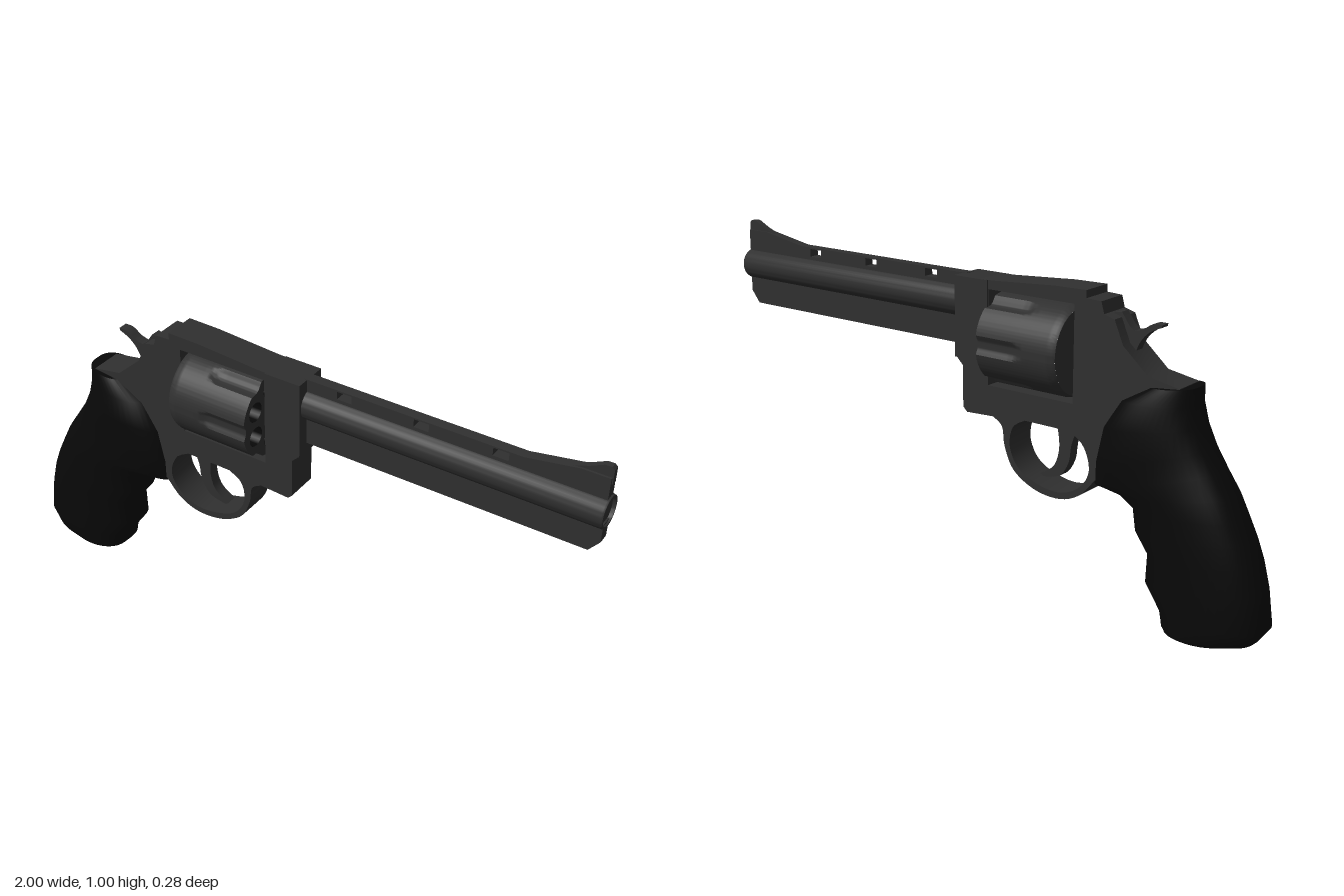
import * as THREE from 'three';
import { toCreasedNormals } from 'three/addons/utils/BufferGeometryUtils.js';

const steel = new THREE.MeshStandardMaterial({ color: 0x303030 });
const black = new THREE.MeshStandardMaterial({ color: 0x080808 });

const vecs = pts => pts.map(([x, y]) => new THREE.Vector2(x, y));
// Smooth curve through points, sampled
const smooth = (pts, n = 32) => new THREE.SplineCurve(vecs(pts)).getPoints(n).map(p => [p.x, p.y]);
const rect = (x0, y0, x1, y1) => [[x0, y0], [x1, y0], [x1, y1], [x0, y1]];

function mesh(name, geometry, material = steel) {
  const m = new THREE.Mesh(geometry, material);
  m.name = name;
  return m;
}

// Side profile in the xy plane, extruded symmetrically to +-half in z; holes run counter-clockwise
function slab(name, pts, half, holes = []) {
  const shape = new THREE.Shape(vecs(pts));
  holes.forEach(h => shape.holes.push(new THREE.Path(vecs(h))));
  const g = new THREE.ExtrudeGeometry(shape, { depth: 2 * half, bevelEnabled: false });
  g.translate(0, 0, -half);
  return mesh(name, toCreasedNormals(g, 0.6));
}

// Frame with cylinder window and trigger guard opening
function buildFrame() {
  const guardOuter = smooth([[-0.08, 0.525], [-0.115, 0.5], [-0.125, 0.44], [-0.16, 0.37], [-0.24, 0.325],
    [-0.33, 0.317], [-0.4, 0.345], [-0.45, 0.4]]);
  const guardInner = smooth([[-0.36, 0.535], [-0.41, 0.5], [-0.432, 0.43], [-0.4, 0.37], [-0.33, 0.337],
    [-0.25, 0.345], [-0.18, 0.378], [-0.145, 0.44], [-0.155, 0.505], [-0.2, 0.535]]);
  return slab('frame', [
    [0.06, 0.94], [0.06, 0.69], [0.035, 0.665], [0.035, 0.535], [0.02, 0.52], ...guardOuter,
    [-0.5, 0.45], [-0.6, 0.6], [-0.72, 0.69], [-0.72, 0.728], [-0.62, 0.745], [-0.535, 0.82],
    [-0.505, 0.89], [-0.47, 0.9], [-0.46, 0.935], [-0.41, 0.937], [-0.41, 0.96], [-0.3, 0.958], [-0.08, 0.943],
  ], 0.053, [rect(-0.37, 0.62, -0.062, 0.915), guardInner]);
}

// Drum with six shallow flutes that fade out rearward, and six dark chambers between them
function buildCylinder() {
  const group = new THREE.Group();
  group.name = 'cylinder';
  const R = 0.139, step = Math.PI / 3, back = -0.36, front = -0.08;
  const radiusAt = (a, x) => {
    const off = (a - Math.round(a / step) * step) / 0.2;
    const end = Math.max(0, (-0.2 - x) / 0.05);
    const chamfer = Math.max(0, back + 0.015 - x) * 0.5;
    return R - chamfer - 0.014 * Math.max(0, 1 - off * off - end * end);
  };

  const wall = new THREE.CylinderGeometry(R, R, front - back, 180, 28, true);
  wall.rotateZ(-Math.PI / 2).translate((front + back) / 2, 0, 0);
  const p = wall.attributes.position;
  for (let i = 0; i < p.count; i++) {
    const a = Math.atan2(p.getY(i), p.getZ(i)), r = radiusAt(a, p.getX(i));
    p.setXYZ(i, p.getX(i), r * Math.sin(a), r * Math.cos(a));
  }
  group.add(mesh('flutedWall', toCreasedNormals(wall, 0.5)));

  const outline = Array.from({ length: 180 }, (_, i) => {
    const a = i / 90 * Math.PI, r = radiusAt(a, front);
    return [r * Math.cos(a), r * Math.sin(a)];
  });
  const face = new THREE.Shape(vecs(outline));
  const bore = new THREE.LatheGeometry(vecs([[0.032, 0], [0.032, -0.16], [0, -0.16]]), 24);
  bore.rotateZ(-Math.PI / 2);
  for (let i = 0; i < 6; i++) {
    const a = (i + 0.5) * step, u = 0.087 * Math.cos(a), v = 0.087 * Math.sin(a);
    const hole = new THREE.Path();
    hole.absarc(u, v, 0.032, 0, Math.PI * 2, true);
    face.holes.push(hole);
    const chamber = mesh('chamber', toCreasedNormals(bore, 0.5), black);
    chamber.position.set(front, v, -u);
    group.add(chamber);
  }
  const faceGeometry = new THREE.ShapeGeometry(face, 12);
  faceGeometry.rotateY(Math.PI / 2).translate(front, 0, 0);
  group.add(mesh('frontFace', faceGeometry));

  const rear = new THREE.CircleGeometry(R - 0.0075, 60);
  rear.rotateY(-Math.PI / 2).translate(back, 0, 0);
  group.add(mesh('rearFace', rear));

  const hub = new THREE.CylinderGeometry(0.035, 0.035, 0.03, 24);
  hub.rotateZ(Math.PI / 2).translate(-0.365, 0, 0);
  group.add(mesh('ratchet', hub));
  group.position.y = 0.765;
  return group;
}

// Barrel tube, underlug, vented rib and front sight
function buildBarrel() {
  const group = new THREE.Group();
  group.name = 'barrel';
  const tube = new THREE.LatheGeometry(vecs([[0, 0.03], [0.05, 0.03], [0.05, 0.995], [0.048, 1], [0.042, 1],
    [0.041, 0.99], [0, 0.99]]), 40);
  tube.rotateZ(-Math.PI / 2).translate(0, 0.855, 0);
  group.add(mesh('barrelTube', toCreasedNormals(tube, 0.5)));
  group.add(slab('underlug', [[0.05, 0.722], [0.963, 0.722], [0.995, 0.762], [0.995, 0.82], [0.05, 0.82]], 0.018));
  const vents = [0.165, 0.415, 0.66].map(x => rect(x, 0.913, x + 0.048, 0.938));
  group.add(slab('ventedRib', [[0.05, 0.89], [0.995, 0.89], [0.995, 0.971], [0.91, 0.971], [0.83, 0.957],
    [0.75, 0.943], [0.05, 0.943]], 0.017, vents));
  group.add(slab('frontSight', [[0.88, 0.95], [0.998, 0.95], [0.998, 0.995], [0.99, 1.003], [0.97, 1.003],
    [0.93, 0.983], [0.88, 0.965]], 0.01));
  return group;
}

// Grip lofted through tilted cross-sections: back x, y, front x, y, half width
function buildGrip() {
  const sections = [
    [-0.9, 0.006, -0.69, 0.004, 0.094], [-0.97, 0.027, -0.68, 0.015, 0.1], [-1, 0.07, -0.67, 0.06, 0.1],
    [-0.985, 0.18, -0.62, 0.13, 0.1], [-0.963, 0.26, -0.624, 0.22, 0.1], [-0.94, 0.32, -0.58, 0.28, 0.1],
    [-0.91, 0.38, -0.57, 0.35, 0.1], [-0.88, 0.44, -0.52, 0.38, 0.1], [-0.84, 0.5, -0.437, 0.388, 0.1],
    [-0.8, 0.56, -0.44, 0.46, 0.1], [-0.77, 0.62, -0.465, 0.57, 0.098], [-0.755, 0.68, -0.52, 0.66, 0.085],
    [-0.755, 0.73, -0.61, 0.714, 0.068],
  ];
  const N = 40, pos = [], idx = [];
  const full = v => Math.sign(v) * Math.abs(v) ** 0.7;
  for (const [bx, by, fx, fy, w] of sections)
    for (let j = 0; j < N; j++) {
      const a = j / N * Math.PI * 2, t = (1 + Math.cos(a)) / 2;
      pos.push(bx + (fx - bx) * t, by + (fy - by) * t, w * full(Math.sin(a)));
    }
  const last = sections.length - 1, base = sections.length * N;
  for (const s of [sections[0], sections[last]]) pos.push((s[0] + s[2]) / 2, (s[1] + s[3]) / 2, 0);
  for (let j = 0; j < N; j++) {
    const k = (j + 1) % N;
    for (let i = 0; i < last; i++) {
      const a = i * N + j, b = i * N + k;
      idx.push(a, a + N, b, b, a + N, b + N);
    }
    idx.push(base, j, k, base + 1, last * N + k, last * N + j);
  }
  const g = new THREE.BufferGeometry();
  g.setAttribute('position', new THREE.Float32BufferAttribute(pos, 3));
  g.setIndex(idx);
  return mesh('grip', toCreasedNormals(g, 0.8), black);
}

export function createModel() {
  const model = new THREE.Group();
  model.name = 'revolver';
  model.add(buildFrame(), buildCylinder(), buildBarrel(), buildGrip());

  // Slightly wider collar where the barrel enters the frame
  model.add(slab('frameCollar', rect(-0.06, 0.69, 0.063, 0.942), 0.057));

  // Curved trigger
  model.add(slab('trigger', [
    ...smooth([[-0.29, 0.545], [-0.302, 0.47], [-0.285, 0.405], [-0.235, 0.367]], 12),
    ...smooth([[-0.245, 0.36], [-0.305, 0.375], [-0.337, 0.425], [-0.345, 0.48], [-0.37, 0.545]], 12),
  ], 0.018));

  // Hammer with swept thumb spur
  model.add(slab('hammer', [
    [-0.48, 0.9], [-0.505, 0.905], [-0.53, 0.87],
    ...smooth([[-0.548, 0.857], [-0.575, 0.865], [-0.605, 0.884], [-0.636, 0.886]], 10),
    ...smooth([[-0.634, 0.878], [-0.6, 0.862], [-0.572, 0.835], [-0.555, 0.8], [-0.55, 0.77]], 10),
    [-0.48, 0.77],
  ], 0.016));
  return model;
}
